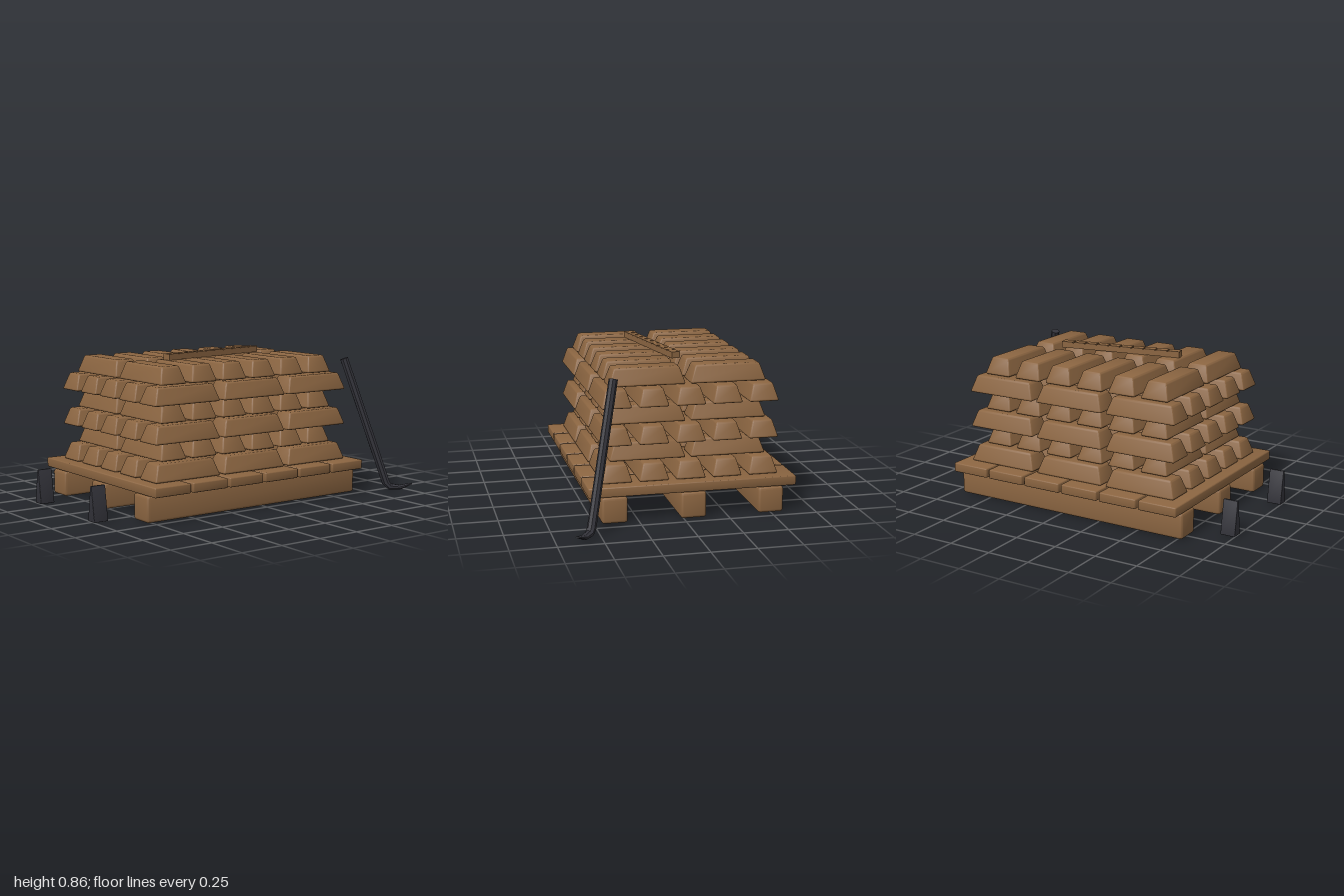
import * as THREE from 'three';
import { toCreasedNormals } from 'three/addons/utils/BufferGeometryUtils.js';
import { RoundedBoxGeometry } from 'three/addons/geometries/RoundedBoxGeometry.js';

const brown = new THREE.MeshStandardMaterial({ color: 0x8b6541 });
brown.name = 'brown';
const iron = new THREE.MeshStandardMaterial({ color: 0x33333a });
iron.name = 'darkIron';

// Soft-edged box standing on y = 0, narrowed towards the top
function taperedBox(w, h, d, topW, topD, radius) {
  const g = new RoundedBoxGeometry(w, h, d, 2, radius);
  g.translate(0, h / 2, 0);
  const p = g.attributes.position;
  for (let i = 0; i < p.count; i++) {
    const t = p.getY(i) / h;
    p.setX(i, p.getX(i) * (1 + (topW / w - 1) * t));
    p.setZ(i, p.getZ(i) * (1 + (topD / d - 1) * t));
  }
  return toCreasedNormals(g, 0.6);
}

// Octagonal bar through rings of [x, y, halfWidth, halfThickness]
function crowbarGeometry(rings) {
  const N = 8, pos = [], idx = [];
  rings.forEach(([x, y, a, b], i) => {
    const p = rings[Math.max(i - 1, 0)], q = rings[Math.min(i + 1, rings.length - 1)];
    const t = new THREE.Vector2(q[0] - p[0], q[1] - p[1]).normalize();
    for (let j = 0; j < N; j++) {
      const k = ((j + 0.5) / N) * Math.PI * 2, n = b * Math.sin(k);
      pos.push(x + t.y * n, y - t.x * n, a * Math.cos(k));
    }
  });
  const last = (rings.length - 1) * N;
  for (let i = 0; i < last; i += N) {
    for (let j = 0; j < N; j++) {
      const k = (j + 1) % N;
      idx.push(i + j, i + k, i + N + k, i + j, i + N + k, i + N + j);
    }
  }
  for (let j = 1; j < N - 1; j++) {
    idx.push(0, j + 1, j, last, last + j, last + j + 1);
  }
  const g = new THREE.BufferGeometry();
  g.setAttribute('position', new THREE.Float32BufferAttribute(pos, 3));
  g.setIndex(idx);
  return toCreasedNormals(g, 0.6);
}

export function createModel() {
  const model = new THREE.Group();
  const CX = -0.042, CZ = -0.057;
  const group = (name) => {
    const g = new THREE.Group();
    g.name = name;
    model.add(g);
    return g;
  };
  const add = (parent, name, geo, mat, x, y, z) => {
    const m = new THREE.Mesh(geo, mat);
    m.name = name;
    m.position.set(x, y, z);
    parent.add(m);
    return m;
  };

  // Pallet: three runners under six planks
  const pallet = group('pallet');
  const runner = taperedBox(1.473, 0.147, 0.145, 1.473, 0.145, 0.016);
  for (let i = -1; i <= 1; i++) add(pallet, 'runner', runner, brown, CX, 0.002, CZ + i * 0.443);
  const plank = taperedBox(0.232, 0.055, 1.175, 0.232, 1.175, 0.007);
  for (let i = 0; i < 6; i++) add(pallet, 'plank', plank, brown, CX + (i - 2.5) * 0.248, 0.152, CZ);

  // Ingots: six layers, turned crosswise on every other layer
  const stack = group('ingotStack');
  const ingot = taperedBox(0.434, 0.099, 0.172, 0.365, 0.112, 0.012);
  for (let layer = 0; layer < 6; layer++) {
    const cross = layer % 2 === 1;
    const nx = cross ? 6 : 3, nz = cross ? 2 : 5;
    const px = cross ? 0.2064 : 0.457, pz = cross ? 0.459 : 0.2075;
    for (let i = 0; i < nx; i++) {
      for (let k = 0; k < nz; k++) {
        const m = add(stack, 'ingot', ingot, brown,
          CX + (i - (nx - 1) / 2) * px, 0.208 + layer * 0.104, CZ + (k - (nz - 1) / 2) * pz);
        if (cross) m.rotation.y = Math.PI / 2;
      }
    }
  }

  // Measuring stick with shallow notches along its top
  const L = 0.732, H = 0.036, W = 0.05, notches = 9;
  const s = new THREE.Shape();
  s.moveTo(-L / 2, 0);
  s.lineTo(L / 2, 0);
  s.lineTo(L / 2, H);
  for (let i = notches; i >= 1; i--) {
    const x = -L / 2 + (i * L) / (notches + 1);
    s.lineTo(x + 0.004, H);
    s.lineTo(x + 0.004, H - 0.005);
    s.lineTo(x - 0.004, H - 0.005);
    s.lineTo(x - 0.004, H);
  }
  s.lineTo(-L / 2, H);
  s.closePath();
  const stickGeo = new THREE.ExtrudeGeometry(s, { depth: W, bevelEnabled: false });
  stickGeo.translate(0, 0, -W / 2);
  add(model, 'measuringStick', stickGeo, brown, -0.04, 0.828, 0.019).rotation.y = 0.172;

  // Two wedges standing beside the pallet
  const wedges = group('wedges');
  const wedge = taperedBox(0.087, 0.196, 0.068, 0.085, 0.012, 0.004);
  for (const z of [0.24, -0.352]) add(wedges, 'wedge', wedge, iron, -0.957, 0.002, z);

  // Crowbar leaning on the stack, with a flattened hooked tip
  const bar = crowbarGeometry([
    [0, 0.8, 0.025, 0.025],
    [0.262, 0.05, 0.025, 0.025],
    [0.287, 0.026, 0.025, 0.02],
    [0.345, 0.022, 0.022, 0.014],
    [0.375, 0.032, 0.019, 0.01],
    [0.418, 0.046, 0.012, 0.004],
  ]);
  add(model, 'crowbar', bar, iron, 0.668, 0, 0.385).rotation.y = -0.67;

  return model;
}
